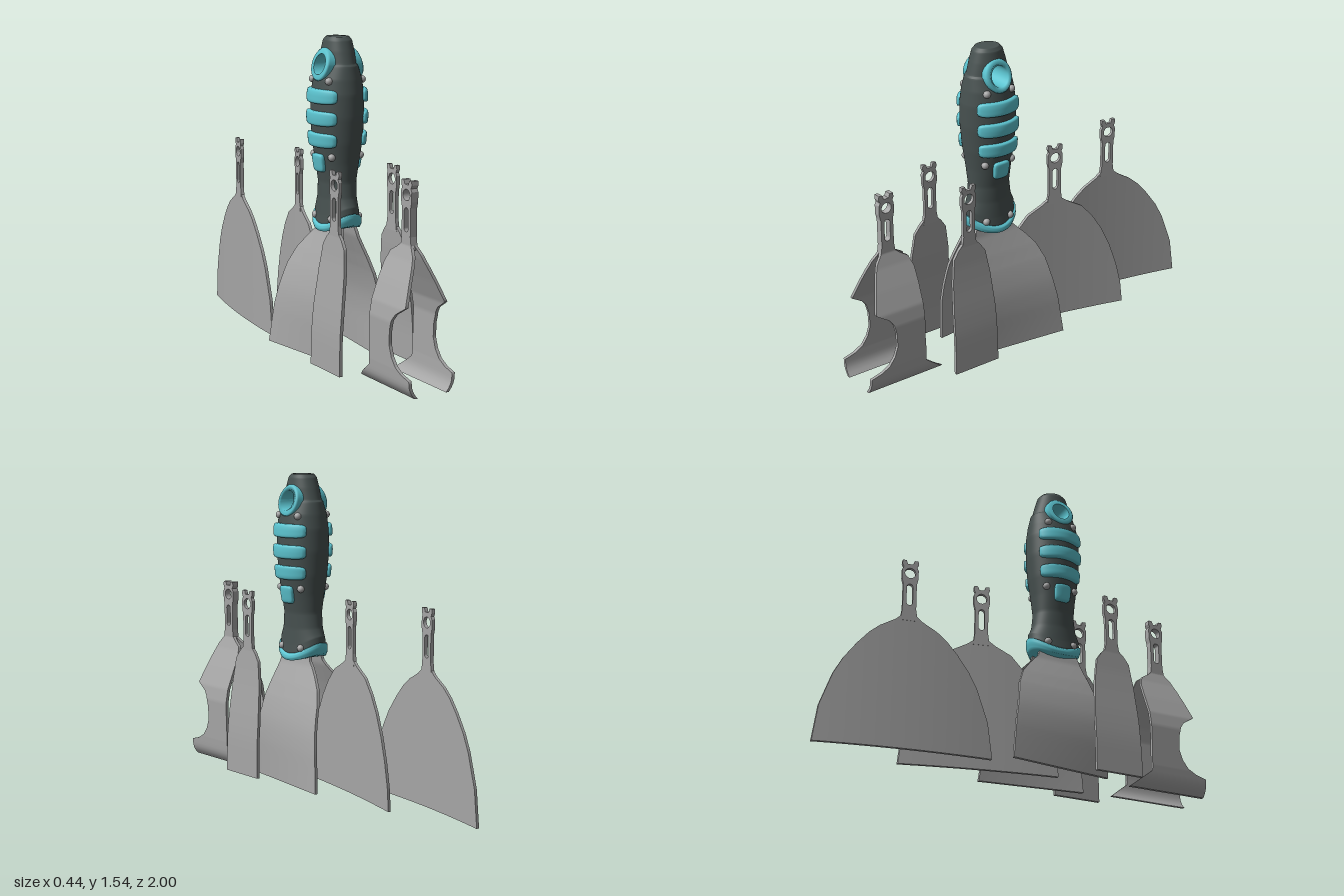
import * as THREE from 'three';
import { mergeVertices } from 'three/addons/utils/BufferGeometryUtils.js';

const mat = (name, color) => new THREE.MeshStandardMaterial({ name, color });
const HZ = 0.222; // z of the handle axis
const HOLE_Y = 1.42;

// Row tables: the first column is y, ascending; t is a fractional row index
function pick(rows, t) {
  const i = Math.min(Math.floor(t), rows.length - 2);
  return rows[i].map((v, k) => v + (rows[i + 1][k] - v) * (t - i));
}
function at(rows, y) {
  let i = 0;
  while (i < rows.length - 2 && rows[i + 1][0] < y) i++;
  const f = (y - rows[i][0]) / (rows[i + 1][0] - rows[i][0]);
  return pick(rows, i + Math.min(Math.max(f, 0), 1));
}
function warp(geo, fn) {
  const p = geo.attributes.position;
  for (let i = 0; i < p.count; i++) p.setXYZ(i, ...fn(p.getX(i), p.getY(i), p.getZ(i)));
  return geo;
}
function smooth(geo) {
  geo.deleteAttribute('uv');
  geo.deleteAttribute('normal');
  const g = mergeVertices(geo, 1e-5);
  g.computeVertexNormals();
  return g;
}

// y, half width, half depth, lift of the front and back edges
const HANDLE = [
  [0.635, 0.085, 0.12, 0.06], [0.66, 0.094, 0.135, 0.06], [0.7, 0.089, 0.134, 0.05], [0.78, 0.083, 0.116, 0.01],
  [0.86, 0.085, 0.106, 0], [0.95, 0.1, 0.114, 0], [1.05, 0.116, 0.128, 0], [1.17, 0.124, 0.138, 0],
  [1.28, 0.12, 0.138, 0], [1.35, 0.11, 0.129, 0], [1.412, 0.087, 0.117, 0], [1.422, 0.079, 0.108, 0],
  [1.48, 0.074, 0.092, 0], [1.53, 0.065, 0.076, 0], [1.547, 0.052, 0.06, 0], [1.55, 0, 0, 0],
];
const GUARD = [
  [0.628, 0, 0, 0.04], [0.622, 0.088, 0.115, 0.04], [0.622, 0.1, 0.132, 0.04],
  [0.634, 0.106, 0.143, 0.055], [0.648, 0.104, 0.143, 0.065], [0.658, 0.092, 0.13, 0.065],
];
function loft(rows, steps) {
  const n = rows.length - 1;
  return warp(new THREE.CylinderGeometry(1, 1, 1, 96, n * steps, true), (x, y, z) => {
    const [ry, rx, rz, lift] = pick(rows, Math.min(Math.max((y + 0.5) * n, 0), n));
    return [x * rx, ry + lift * ((z * rz) / 0.14) ** 2, HZ + z * rz];
  });
}

// Rounded pad that wraps the side of the handle
function pad(side, yc, halfH, angle) {
  const g = warp(new THREE.BoxGeometry(2, 2, 2, 6, 10, 28), (a, b, c) => {
    const n = (Math.abs(a) ** 5 + Math.abs(b) ** 5 + Math.abs(c) ** 5) ** 0.2;
    const y = yc + (b / n) * halfH;
    const [, rx, rz] = at(HANDLE, y);
    const off = 0.02 * (a / n), phi = angle * (c / n);
    return [side * (rx + off) * Math.cos(phi), y, HZ + side * (rz + off) * Math.sin(phi)];
  });
  return smooth(g);
}

// Forked shank with a round hole and a slot, lying in the yz plane
function tangGeometry() {
  const half = [[0.042, 0.64], [0.033, 0.7], [0.033, 0.83], [0.04, 0.86], [0.04, 0.905],
    [0.033, 0.92], [0.04, 0.935], [0.038, 0.955], [0.02, 0.955], [0.013, 0.935]];
  const pts = [...half, ...half.map(([a, b]) => [-a, b]).reverse()];
  const shape = new THREE.Shape(pts.map(([a, b]) => new THREE.Vector2(a, b)));
  const hole = new THREE.Path();
  hole.absarc(0, 0.888, 0.026, 0, Math.PI * 2, true);
  const slot = new THREE.Path();
  slot.absarc(0, 0.815, 0.015, Math.PI, 0, true);
  slot.absarc(0, 0.735, 0.015, 0, -Math.PI, true);
  shape.holes.push(hole, slot);
  const g = new THREE.ExtrudeGeometry(shape, { depth: 0.018, bevelEnabled: false, curveSegments: 16 });
  return g.translate(0, 0, -0.009).rotateY(-Math.PI / 2);
}

// Sheet blade: rows give y, back edge, front edge; xAt(y, u) bends it sideways
function bladeGeometry(rows, xAt) {
  const n = rows.length - 1;
  const g = warp(new THREE.BoxGeometry(1, 1, 1, 1, n * 5, 16), (x, y, z) => {
    const [ry, back, front] = pick(rows, Math.min(Math.max((y + 0.5) * n, 0), n));
    const u = back + (front - back) * (z + 0.5);
    return [xAt(ry, u) + x * 0.016, ry, u];
  });
  g.computeVertexNormals();
  return g;
}
const mirrorRows = (rows) => rows.map(([y, h]) => [y, -h, h]);

export function createModel() {
  const root = new THREE.Group();
  root.name = 'scraperSet';
  const steel = mat('steel', 0xa6a6a6);
  const rubber = mat('darkRubber', 0x475150);
  const teal = mat('teal', 0x5cc4d0);
  const add = (name, geo, material, parent = root) => {
    const m = new THREE.Mesh(geo, material);
    m.name = name;
    parent.add(m);
    return m;
  };

  // Handle body, with the surface opened around the hanging hole
  const handle = new THREE.Group();
  handle.name = 'handle';
  root.add(handle);
  const body = smooth(loft(HANDLE, 8));
  const p = body.attributes.position, idx = body.index.array, kept = [];
  for (let i = 0; i < idx.length; i += 3) {
    const tri = [idx[i], idx[i + 1], idx[i + 2]];
    if (tri.every((v) => Math.hypot(p.getY(v) - HOLE_Y, p.getZ(v) - HZ) > 0.053)) kept.push(...tri);
  }
  body.setIndex(kept);
  add('handleBody', body, rubber, handle);
  add('handleGuard', smooth(loft(GUARD, 3)), teal, handle);

  // Hanging hole sleeve with slanted ends
  const profile = [[0.046, -0.1], [0.066, -0.1], [0.073, -0.092], [0.073, 0.092], [0.066, 0.1], [0.046, 0.1], [0.046, -0.1]];
  const sleeve = new THREE.LatheGeometry(profile.map(([r, h]) => new THREE.Vector2(r, h)), 48).rotateZ(-Math.PI / 2);
  warp(sleeve, (x, y, z) => [x - Math.sign(x) * 0.3 * y, HOLE_Y + y * 1.06, HZ + z]);
  sleeve.computeVertexNormals();
  add('hangingHoleSleeve', sleeve, teal, handle);

  // Grip pads and screws
  for (const side of [1, -1]) {
    for (const y of [1.272, 1.168, 1.064]) add('gripPad', pad(side, y, 0.034, 0.93), teal, handle);
    add('thumbPad', pad(side, 0.953, 0.044, 0.36), teal, handle);
    for (const [y, dz] of [[1.345, 0.07], [0.985, 0.077], [0.688, 0.07]]) {
      const [, rx, rz] = at(HANDLE, y);
      for (const s of [1, -1]) {
        const screw = add('screw', new THREE.SphereGeometry(0.018, 20, 14), steel, handle);
        screw.position.set(side * rx * Math.sqrt(1 - (dz / rz) ** 2), y, HZ + s * dz);
      }
    }
  }

  // Places one blade and its shank
  function blade(name, rows, xAt, z, tangX, yaw = 0) {
    const g = new THREE.Group();
    g.name = name;
    g.position.z = z;
    root.add(g);
    add('bladeSheet', bladeGeometry(rows, xAt), steel, g);
    if (tangX === null) return;
    const t = add('bladeShank', tangGeometry(), steel, g);
    t.position.x = tangX;
    t.rotation.y = yaw;
  }

  // Two wide single blades
  const wide = mirrorRows([[0.005, 0.413], [0.18, 0.39], [0.34, 0.335], [0.42, 0.293], [0.5, 0.235], [0.56, 0.183], [0.6, 0.135], [0.64, 0.065], [0.665, 0.036]]);
  blade('wideBlade', wide, (y, u) => -0.075 - 0.163 * u + 0.12 * u * u, -0.587, -0.075, -0.162);
  const medium = mirrorRows([[0.005, 0.377], [0.12, 0.365], [0.235, 0.338], [0.35, 0.3], [0.45, 0.255], [0.53, 0.205], [0.6, 0.145], [0.64, 0.07], [0.665, 0.036]]);
  blade('mediumBlade', medium, (y, u) => 0.025 - 0.22 * u + 0.1 * u * u, -0.163, 0.025, -0.217);

  // Mirrored blades: mounted pair, narrow pair and hooked pair
  const mounted = [[0.01, -0.316, 0.218], [0.21, -0.292, 0.208], [0.42, -0.25, 0.175], [0.5, -0.215, 0.15], [0.56, -0.165, 0.13], [0.62, -0.107, 0.113], [0.68, -0.09, 0.09]];
  const mountedX = [[0, 0.148], [0.2, 0.146], [0.3, 0.137], [0.4, 0.115], [0.5, 0.082], [0.6, 0.045], [0.68, 0.03]];
  const narrow = [[0.01, -0.128, 0.122], [0.3, -0.123, 0.117], [0.48, -0.108, 0.106], [0.6, -0.088, 0.09], [0.64, -0.06, 0.062], [0.665, -0.036, 0.036]];
  const narrowX = [[0, 0.21], [0.2, 0.206], [0.32, 0.195], [0.45, 0.18], [0.55, 0.17], [0.65, 0.163]];
  const hooked = [[0.005, -0.232, 0.188], [0.09, -0.122, 0.186], [0.105, -0.12, 0.13], [0.13, -0.12, 0.085], [0.17, -0.12, 0.055],
    [0.22, -0.118, 0.038], [0.29, -0.118, 0.04], [0.34, -0.118, 0.053], [0.37, -0.118, 0.075], [0.41, -0.118, 0.138],
    [0.5, -0.12, 0.112], [0.57, -0.118, 0.09], [0.62, -0.1, 0.07], [0.645, -0.06, 0.05], [0.665, -0.036, 0.036]];
  const hookedX = [[0, 0.082], [0.03, 0.108], [0.06, 0.118], [0.12, 0.122], [0.33, 0.124], [0.4, 0.112], [0.5, 0.073], [0.6, 0.03], [0.66, 0.01]];
  for (const s of [1, -1]) {
    const side = s > 0 ? 'left' : 'right';
    blade(side + 'MountedBlade', mounted, (y, u) => s * (at(mountedX, y)[1] - 0.13 * u * Math.max(0, 1 - y / 0.62)), HZ, null);
    blade(side + 'NarrowBlade', narrow, (y) => s * at(narrowX, y)[1], 0.458, s * 0.162);
    blade(side + 'HookedBlade', hooked, (y) => s * at(hookedX, y)[1], 0.812, s * 0.009);
  }
  return root;
}
